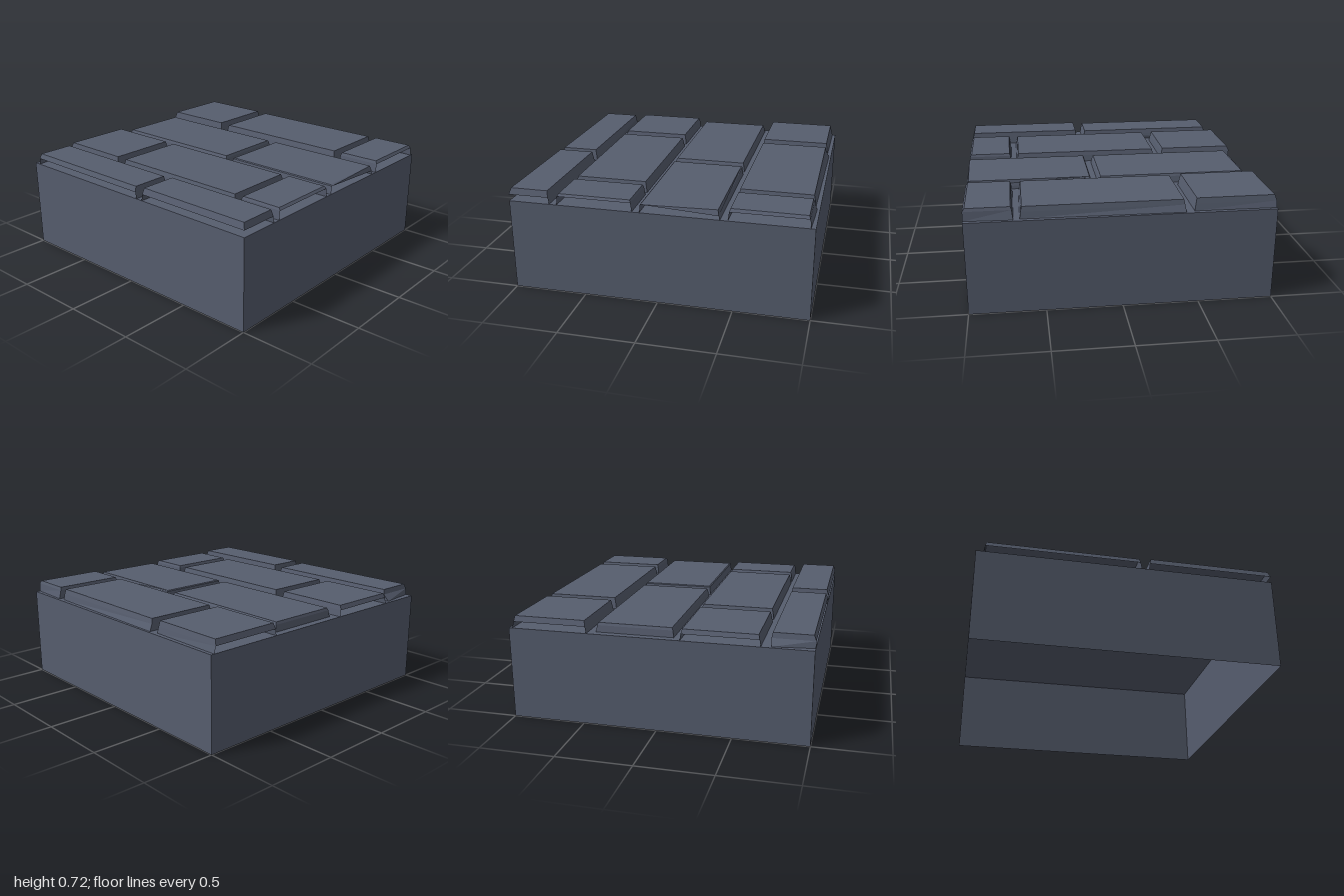
import * as THREE from 'three';

const BASE = 0.63; // level of the mortar bed

// Each brick: base x range, top height, optional shoulder height,
// skew = outward shift [dx, dz] of the back-left base corner,
// drop = how far the back-right shoulder corner sinks.
const rows = [
  { z: [-0.97, -0.46], bricks: [
    { x: [-1, -0.46], h: 0.713, skew: [0, -0.006] },
    { x: [-0.405, 0.65], h: 0.708, skew: [0, -0.015] },
    { x: [0.69, 1], h: 0.71, shoulder: 0.69, skew: [0, -0.012] }] },
  { z: [-0.41, 0.11], bricks: [
    { x: [-0.95, 0.09], h: 0.692 },
    { x: [0.14, 1], h: 0.693, shoulder: 0.687, drop: 0.03 }] },
  { z: [0.16, 0.67], bricks: [
    { x: [-1, -0.46], h: 0.705 },
    { x: [-0.405, 0.65], h: 0.703 },
    { x: [0.69, 1], h: 0.706, shoulder: 0.69 }] },
  { z: [0.72, 1], bricks: [
    { x: [-0.95, 0.09], h: 0.71, skew: [-0.03, 0.015] },
    { x: [0.14, 1], h: 0.718 }] },
];

// Flat quads from four corners, counter-clockwise seen from the front
function quads(list) {
  const p = [];
  for (const [a, b, c, d] of list) p.push(...a, ...b, ...c, ...a, ...c, ...d);
  const g = new THREE.BufferGeometry();
  g.setAttribute('position', new THREE.Float32BufferAttribute(p, 3));
  g.computeVertexNormals();
  return g;
}

// Four corners at height y: front-left, front-right, back-right, back-left
const ring = (x0, x1, z0, z1, y) => [[x0, y, z1], [x1, y, z1], [x1, y, z0], [x0, y, z0]];

// Brick shell: sloped sides, cut open below the shoulder at the block edge
function brickGeometry([x0, x1], [z0, z1], { h, shoulder = 0.675, skew = [0, 0], drop = 0 }) {
  const inset = 0.014;
  const mid = (v, s) => (Math.abs(v) === 1 ? v : v + (s * inset) / 2);
  const base = ring(x0, x1, z0, z1, BASE);
  const middle = ring(mid(x0, 1), mid(x1, -1), mid(z0, 1), mid(z1, -1), shoulder);
  const top = ring(x0 + inset, x1 - inset, z0 + inset, z1 - inset, h);
  base[3][0] += skew[0];
  base[3][2] += skew[1];
  middle[2][1] -= drop;
  const open = [z1 === 1, x1 === 1, false, x0 === -1];
  const faces = [top];
  for (let i = 0; i < 4; i++) {
    const j = (i + 1) % 4;
    faces.push([middle[i], middle[j], top[j], top[i]]);
    if (!open[i]) faces.push([base[i], base[j], middle[j], middle[i]]);
  }
  return quads(faces);
}

export function createModel() {
  const stone = new THREE.MeshStandardMaterial({ color: 0x565d6e, side: THREE.DoubleSide });
  stone.name = 'slateStone';
  const model = new THREE.Group();
  model.name = 'brickBlock';
  const add = (name, geometry) => {
    const mesh = new THREE.Mesh(geometry, stone);
    mesh.name = name;
    model.add(mesh);
  };

  // Four walls, hollow and open underneath, with a flat mortar bed on top
  const low = ring(-1, 1, -1, 1, 0), high = ring(-1, 1, -1, 1, BASE);
  add('walls', quads(low.map((p, i) => [p, low[(i + 1) % 4], high[(i + 1) % 4], high[i]])));
  add('mortarBed', quads([high]));

  // Staggered brick courses
  rows.forEach(({ z, bricks }, r) => bricks.forEach((b, i) =>
    add(`brickRow${r + 1}Number${i + 1}`, brickGeometry(b.x, z, b))));
  return model;
}
